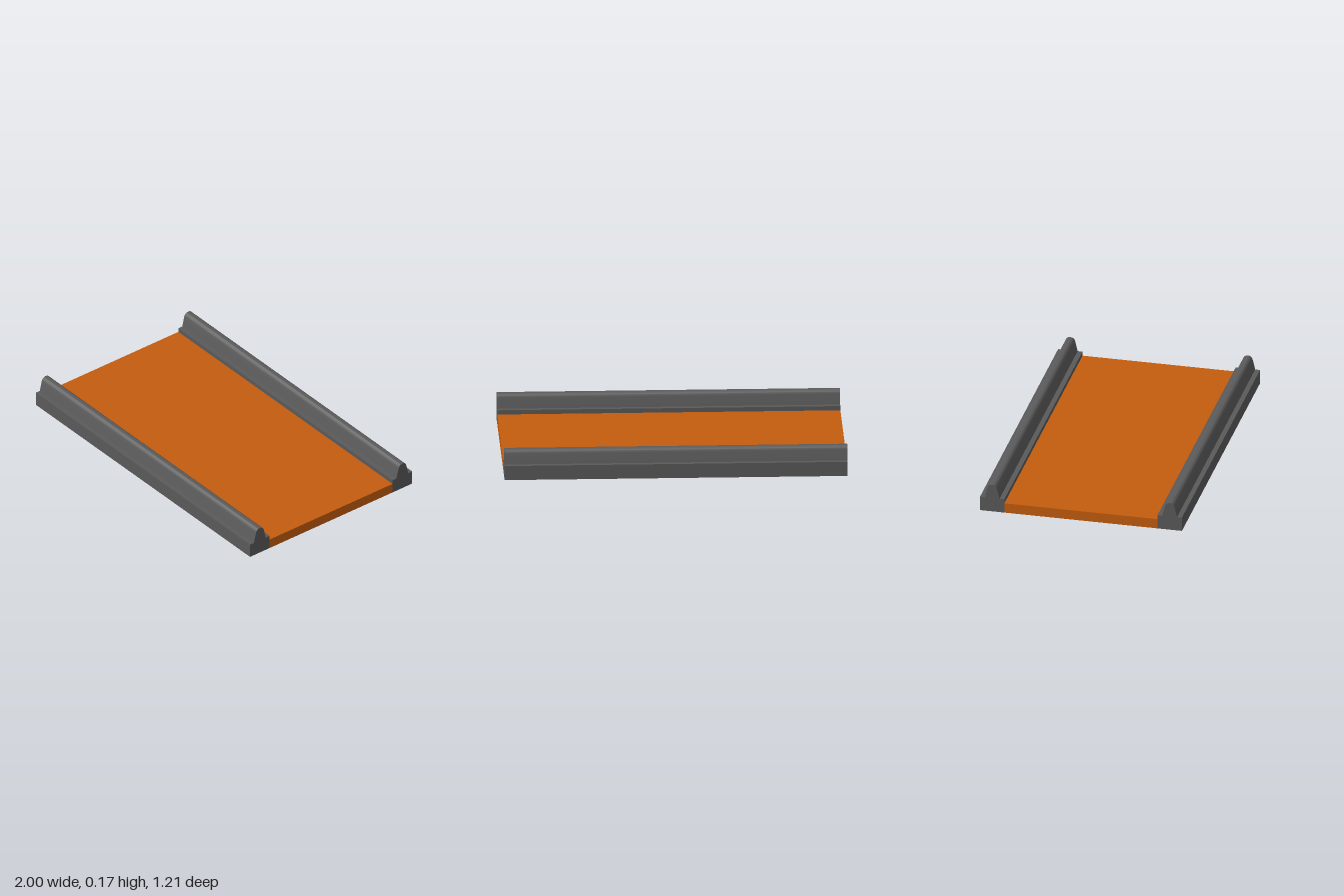
import * as THREE from 'three';
import { toCreasedNormals } from 'three/addons/utils/BufferGeometryUtils.js';

const LENGTH = 2;
const DECK_HALF = 0.458;
const OUTER = 0.604;

// Rail cross-section: square foot, tapering web and rounded head
function railGeometry() {
  const foot = (OUTER - DECK_HALF) / 2;
  const s = new THREE.Shape();
  s.moveTo(-foot, 0);
  s.lineTo(foot, 0);
  s.lineTo(foot, 0.086);
  s.lineTo(0.044, 0.086);
  s.lineTo(0.029, 0.148);
  s.bezierCurveTo(0.025, 0.164, 0.016, 0.172, 0, 0.172);
  s.bezierCurveTo(-0.016, 0.172, -0.025, 0.164, -0.029, 0.148);
  s.lineTo(-0.044, 0.086);
  s.lineTo(-foot, 0.086);
  s.closePath();
  const g = new THREE.ExtrudeGeometry(s, { depth: LENGTH, bevelEnabled: false, curveSegments: 10 });
  g.translate(0, 0, -LENGTH / 2);
  g.rotateY(Math.PI / 2);
  return toCreasedNormals(g, Math.PI / 6);
}

export function createModel() {
  const model = new THREE.Group();
  const orange = new THREE.MeshStandardMaterial({ color: 0xc45c0e });
  const darkGrey = new THREE.MeshStandardMaterial({ color: 0x5a5a5a });

  // Flat panel between the rails
  const deck = new THREE.Mesh(new THREE.BoxGeometry(LENGTH, 0.06, DECK_HALF * 2), orange);
  deck.name = 'deck';
  deck.position.y = 0.03;
  model.add(deck);

  // Matching rails along the front and back edges
  const geometry = railGeometry();
  for (const [name, side] of [['frontRail', 1], ['backRail', -1]]) {
    const rail = new THREE.Mesh(geometry, darkGrey);
    rail.name = name;
    rail.position.z = side * (DECK_HALF + OUTER) / 2;
    model.add(rail);
  }
  return model;
}
